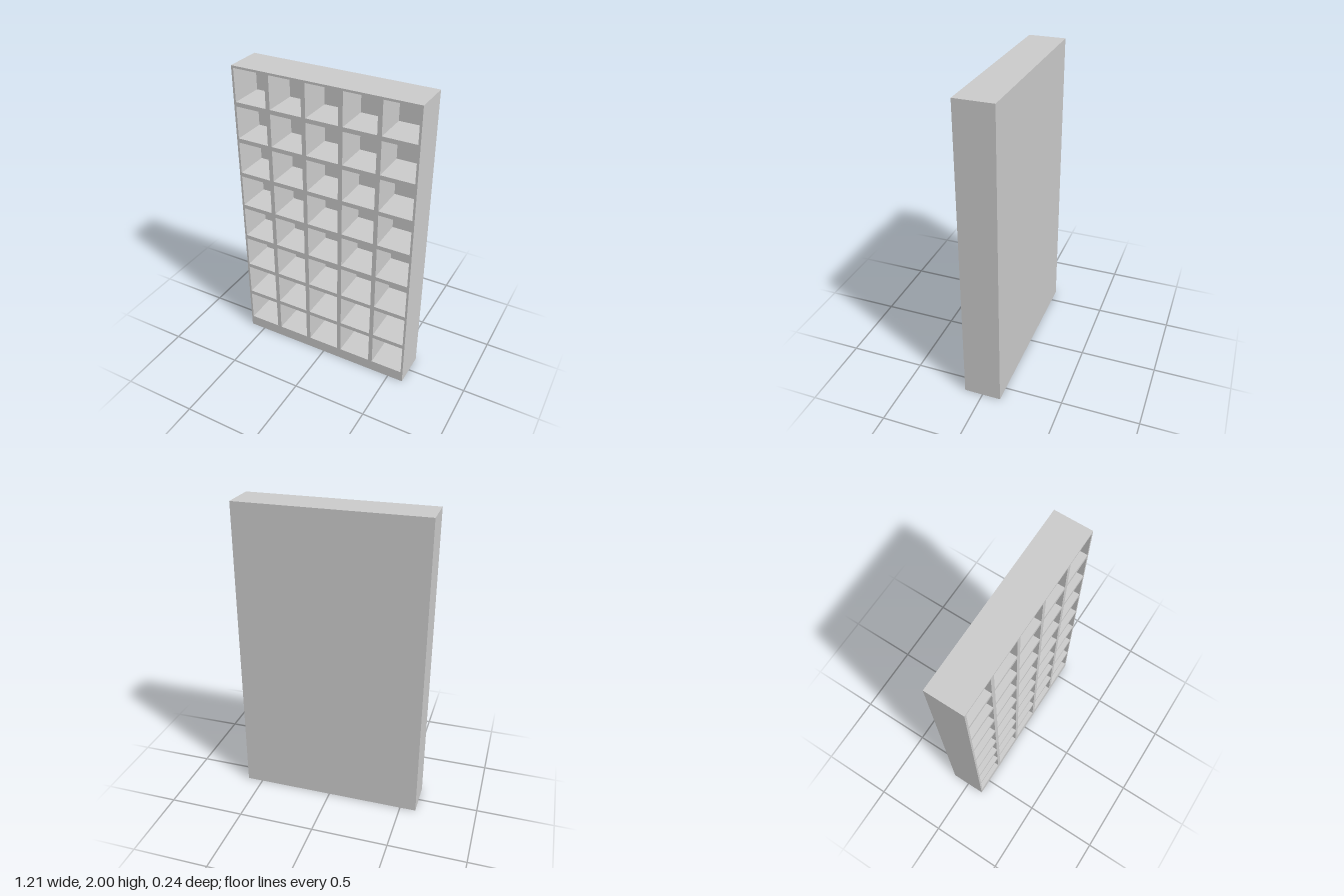
import * as THREE from 'three';

const WIDTH = 1.21, HEIGHT = 2, DEPTH = 0.242;
const COLS = 5, ROWS = 8;
const PITCH = 0.242, CELL = 0.214; // cell spacing and opening size
const RIM = 0.014;                 // outer wall and back thickness

// Adds a rectangle to a shape or path, from its lower left corner
function rect(path, x, y, w, h) {
  path.moveTo(x, y);
  path.lineTo(x + w, y);
  path.lineTo(x + w, y + h);
  path.lineTo(x, y + h);
  path.closePath();
  return path;
}

export function createModel() {
  const group = new THREE.Group();
  group.name = 'pigeonholeShelf';
  const material = new THREE.MeshStandardMaterial({ color: 0xcccccc, flatShading: true });

  // Frame with a grid of square openings, leaving a taller plinth at the bottom
  const outline = rect(new THREE.Shape(), -WIDTH / 2, 0, WIDTH, HEIGHT);
  for (let row = 0; row < ROWS; row++) {
    for (let col = 0; col < COLS; col++) {
      const x = (col - (COLS - 1) / 2) * PITCH - CELL / 2;
      const y = HEIGHT - RIM - CELL - row * PITCH;
      outline.holes.push(rect(new THREE.Path(), x, y, CELL, CELL));
    }
  }
  const frame = new THREE.Mesh(
    new THREE.ExtrudeGeometry(outline, { depth: DEPTH - RIM, bevelEnabled: false }),
    material
  );
  frame.name = 'compartmentFrame';
  frame.position.z = -DEPTH / 2 + RIM;
  group.add(frame);

  // Thin panel closing the back of every compartment
  const back = new THREE.Mesh(new THREE.BoxGeometry(WIDTH, HEIGHT, RIM), material);
  back.name = 'backPanel';
  back.position.set(0, HEIGHT / 2, -DEPTH / 2 + RIM / 2);
  group.add(back);

  return group;
}
